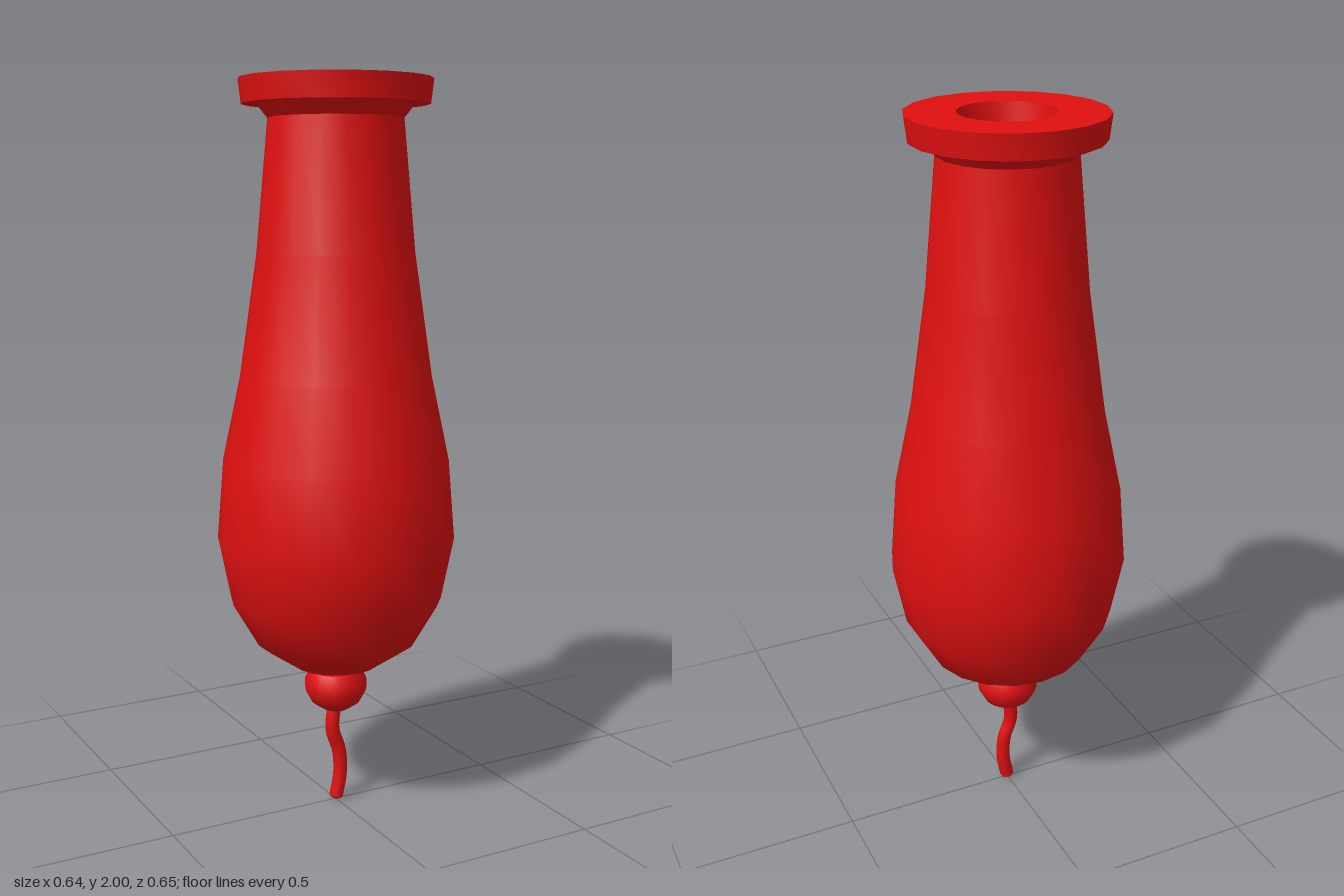
import * as THREE from 'three';
import { toCreasedNormals } from 'three/addons/utils/BufferGeometryUtils.js';

const red = new THREE.MeshStandardMaterial({ color: 0xe01010 });

function part(name, geometry) {
  const mesh = new THREE.Mesh(geometry, red);
  mesh.name = name;
  return mesh;
}

// Turned part: profile of [radius, height] pairs, listed from the bottom up the outside
function turned(name, profile, sides = 18) {
  const points = profile.map(([r, y]) => new THREE.Vector2(r, y));
  return part(name, toCreasedNormals(new THREE.LatheGeometry(points, sides), 0.72));
}

export function createModel() {
  const group = new THREE.Group();
  group.name = 'bottle';

  // Pear-shaped body, flared neck, collar and shallow blind hole as one surface
  group.add(turned('body', [
    [0, 0.39], [0.12, 0.41], [0.223, 0.48], [0.293, 0.6], [0.327, 0.77],
    [0.309, 0.99], [0.26, 1.22], [0.212, 1.55], [0.18, 1.9],
    [0.208, 1.935], [0.249, 1.935], [0.257, 2],
    [0.126, 2], [0.115, 1.91], [0, 1.91],
  ]));

  // Rounded knob under the body
  group.add(turned('knob', [
    [0, 0.27], [0.035, 0.275], [0.068, 0.297], [0.086, 0.33],
    [0.087, 0.362], [0.074, 0.39], [0.04, 0.4], [0, 0.402],
  ]));

  // Wavy cord hanging from the knob
  const path = new THREE.CatmullRomCurve3([
    [0.002, 0.3], [-0.009, 0.255], [-0.01, 0.21], [0.01, 0.15], [0.014, 0.08], [0.002, 0.015],
  ].map(([x, y]) => new THREE.Vector3(x, y, 0)));
  group.add(part('cord', new THREE.TubeGeometry(path, 20, 0.02, 10)));

  // Softly domed cord end
  const tip = part('cordTip', new THREE.SphereGeometry(0.02, 10, 4, 0, Math.PI * 2, 0, Math.PI / 2));
  tip.position.copy(path.getPoint(1));
  tip.quaternion.setFromUnitVectors(new THREE.Vector3(0, 1, 0), path.getTangent(1));
  tip.scale.y = 0.6;
  group.add(tip);

  // Settle the lowest point on the ground
  const lowest = new THREE.Box3().setFromObject(group, true).min.y;
  for (const name of ['cord', 'cordTip']) group.getObjectByName(name).position.y -= lowest;
  return group;
}
